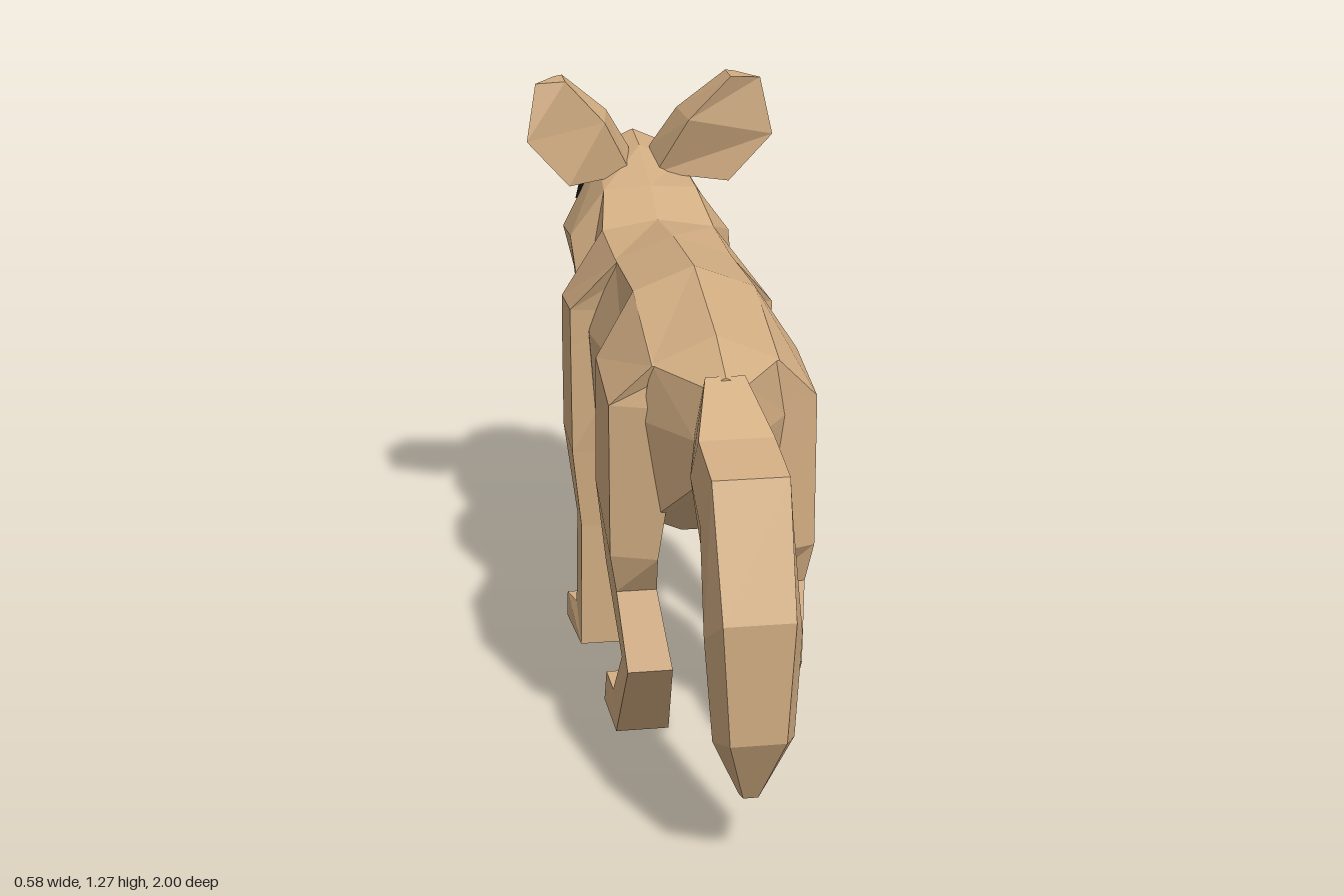
import * as THREE from 'three';

const coat = new THREE.MeshStandardMaterial({ color: 0xd2ad82, flatShading: true });
const grey = new THREE.MeshStandardMaterial({ color: 0xcccccc, flatShading: true });
const black = new THREE.MeshStandardMaterial({ color: 0x0a0a0a, flatShading: true });

// Skin a list of rings; keep(i, j) chooses which panels belong to this mesh
function loft(name, rings, material, { keep = () => true, caps = true } = {}) {
  const pos = [];
  const tri = (a, b, c) => pos.push(...a, ...b, ...c);
  const n = rings[0].length;
  for (let i = 0; i < rings.length - 1; i++) {
    for (let j = 0; j < n; j++) {
      if (!keep(i, j)) continue;
      const k = (j + 1) % n;
      tri(rings[i][j], rings[i][k], rings[i + 1][k]);
      tri(rings[i][j], rings[i + 1][k], rings[i + 1][j]);
    }
  }
  const first = rings[0], last = rings[rings.length - 1];
  for (let j = 1; caps && j < n - 1; j++) {
    tri(first[0], first[j + 1], first[j]);
    tri(last[0], last[j], last[j + 1]);
  }
  const geometry = new THREE.BufferGeometry();
  geometry.setAttribute('position', new THREE.Float32BufferAttribute(pos, 3));
  geometry.computeVertexNormals();
  const mesh = new THREE.Mesh(geometry, material);
  mesh.name = name;
  return mesh;
}

const flip = ([x, y, z]) => [-x, y, z];
// Mirror rings across x = 0, keeping faces outward
const mirrorRings = (rings) => rings.map((r) => r.map(flip).reverse());

// Trunk stations: z at top, z at bottom, ridge y, shoulder x y, flank x y, lower side x y, underside y
const trunk = [
  [0.6, 0.6, 0.91, 0.04, 0.89, 0.06, 0.78, 0.05, 0.69, 0.68],
  [0.48, 0.45, 0.96, 0.13, 0.9, 0.15, 0.78, 0.13, 0.56, 0.53],
  [0.19, 0.2, 1.02, 0.13, 0.97, 0.15, 0.78, 0.13, 0.55, 0.51],
  [-0.11, -0.13, 1, 0.13, 0.95, 0.19, 0.78, 0.17, 0.49, 0.44],
  [-0.36, -0.34, 0.97, 0.13, 0.95, 0.18, 0.75, 0.16, 0.5, 0.45],
];
// Head stations in the same order, from neck to muzzle tip
const head = [
  [-0.48, -0.52, 1.02, 0.11, 1.01, 0.19, 0.9, 0.14, 0.65, 0.595],
  [-0.68, -0.65, 1.07, 0.1, 1.03, 0.19, 0.88, 0.12, 0.75, 0.71],
  [-0.81, -0.79, 1.08, 0.07, 1.05, 0.14, 0.9, 0.08, 0.77, 0.745],
  [-0.895, -0.87, 0.97, 0.045, 0.96, 0.085, 0.87, 0.06, 0.77, 0.74],
  [-0.925, -0.93, 0.86, 0.035, 0.855, 0.055, 0.81, 0.05, 0.77, 0.73],
  [-0.995, -0.99, 0.79, 0.02, 0.787, 0.03, 0.775, 0.03, 0.765, 0.755],
];
function bodyRing([zt, zb, ty, ux, uy, sx, sy, lx, ly, by]) {
  const half = [[0, ty], [ux, uy], [sx, sy], [lx, ly], [lx / 2, by]]
    .map(([x, y], k) => [x, y, zt + (zb - zt) * k / 4]);
  return [...half, ...half.slice(1).reverse().map(flip)];
}

// Leg stations: front y, z; back y, z; outer x, inner x; extra depth of the inner back edge
const hindLeg = [
  [0.97, 0.19, 0.9, 0.48, 0.13, 0.05],
  [0.84, 0.23, 0.81, 0.45, 0.215, 0.07, 0.05],
  [0.55, 0.2, 0.48, 0.45, 0.215, 0.12, 0.035],
  [0.38, 0.25, 0.39, 0.43, 0.2, 0.115],
  [0.22, 0.39, 0.23, 0.49, 0.185, 0.09],
  [0.085, 0.27, 0.008, 0.32, 0.19, 0.075],
  [0.09, 0.19, 0, 0.145, 0.195, 0.07],
];
const frontLeg = [
  [0.95, -0.36, 0.95, -0.09, 0.13, 0.05],
  [0.81, -0.32, 0.83, -0.14, 0.23, 0.07, 0.03],
  [0.73, -0.33, 0.74, -0.14, 0.23, 0.09, 0.03],
  [0.49, -0.33, 0.49, -0.135, 0.23, 0.13],
  [0.3, -0.24, 0.3, -0.15, 0.21, 0.135],
  [0.07, -0.24, 0, -0.15, 0.215, 0.125],
  [0.07, -0.3, 0, -0.32, 0.23, 0.125],
];
const legRings = (stations) => stations.map(([fy, fz, by, bz, xo, xi, d = 0]) =>
  [[xo, fy, fz], [xo, by, bz], [xi, by, bz + d], [xi, fy, fz]]);

// Tail stations: outer y, z; inner y, z; edge half width, middle half width
const tailStations = [
  [0.91, 0.59, 0.68, 0.59, 0.04, 0.06],
  [0.83, 0.73, 0.68, 0.72, 0.075, 0.09],
  [0.81, 0.89, 0.6, 0.8, 0.075, 0.09],
  [0.56, 1, 0.45, 0.86, 0.07, 0.095],
  [0.31, 1, 0.28, 0.885, 0.055, 0.08],
  [0.155, 0.92, 0.165, 0.895, 0.015, 0.022],
];
function tailRing([oy, oz, iy, iz, w, m]) {
  const side = [[w, iy, iz], [m, (oy + iy) / 2, (oz + iz) / 2], [w, oy, oz]];
  return [...side, ...side.map(flip).reverse()];
}

// Ear rings from base to tip: outer edge, front fold, inner edge, back
const earRings = [
  [[0.19, 1.02, -0.5], [0.13, 1.02, -0.63], [0.025, 1.065, -0.69], [0.03, 1.02, -0.6]],
  [[0.29, 1.135, -0.48], [0.19, 1.14, -0.565], [0.085, 1.17, -0.64], [0.1, 1.16, -0.54]],
  [[0.265, 1.265, -0.51], [0.215, 1.268, -0.575], [0.195, 1.268, -0.59], [0.195, 1.268, -0.51]],
];

export function createModel() {
  const model = new THREE.Group();
  model.name = 'fox';

  // Body and head, with a grey underside from belly to chin
  const body = [...trunk, ...head].map(bodyRing);
  const under = (i, j) => i >= 1 && i <= 8 && j >= 3 && j <= 5;
  model.add(loft('body', body, coat, { keep: (i, j) => !under(i, j) }));
  model.add(loft('underside', body, grey, { keep: under, caps: false }));

  model.add(loft('tail', tailStations.map(tailRing), coat));

  // Paired parts
  for (const [label, s] of [['left', 1], ['right', -1]]) {
    const sided = (rings) => (s > 0 ? rings : mirrorRings(rings));
    model.add(loft(`${label}HindLeg`, sided(legRings(hindLeg)), coat));
    model.add(loft(`${label}FrontLeg`, sided(legRings(frontLeg)), coat));

    // Panels facing forward are grey; mirroring reverses the panel order
    const facesFront = (i, j) => (s > 0 ? j < 2 : j === 1 || j === 2);
    model.add(loft(`${label}EarBack`, sided(earRings), coat, { keep: (i, j) => !facesFront(i, j) }));
    model.add(loft(`${label}EarFront`, sided(earRings), grey, { keep: facesFront, caps: false }));

    // Eye
    const eye = new THREE.Mesh(new THREE.BoxGeometry(0.03, 0.05, 0.06), black);
    eye.name = `${label}Eye`;
    eye.position.set(s * 0.108, 0.918, -0.845);
    eye.rotation.set(-0.35, s * 0.55, s * 0.3);
    model.add(eye);
  }

  // Nose
  const nose = new THREE.Mesh(new THREE.BoxGeometry(0.05, 0.026, 0.012), black);
  nose.name = 'nose';
  nose.position.set(0, 0.772, -0.994);
  model.add(nose);

  return model;
}
